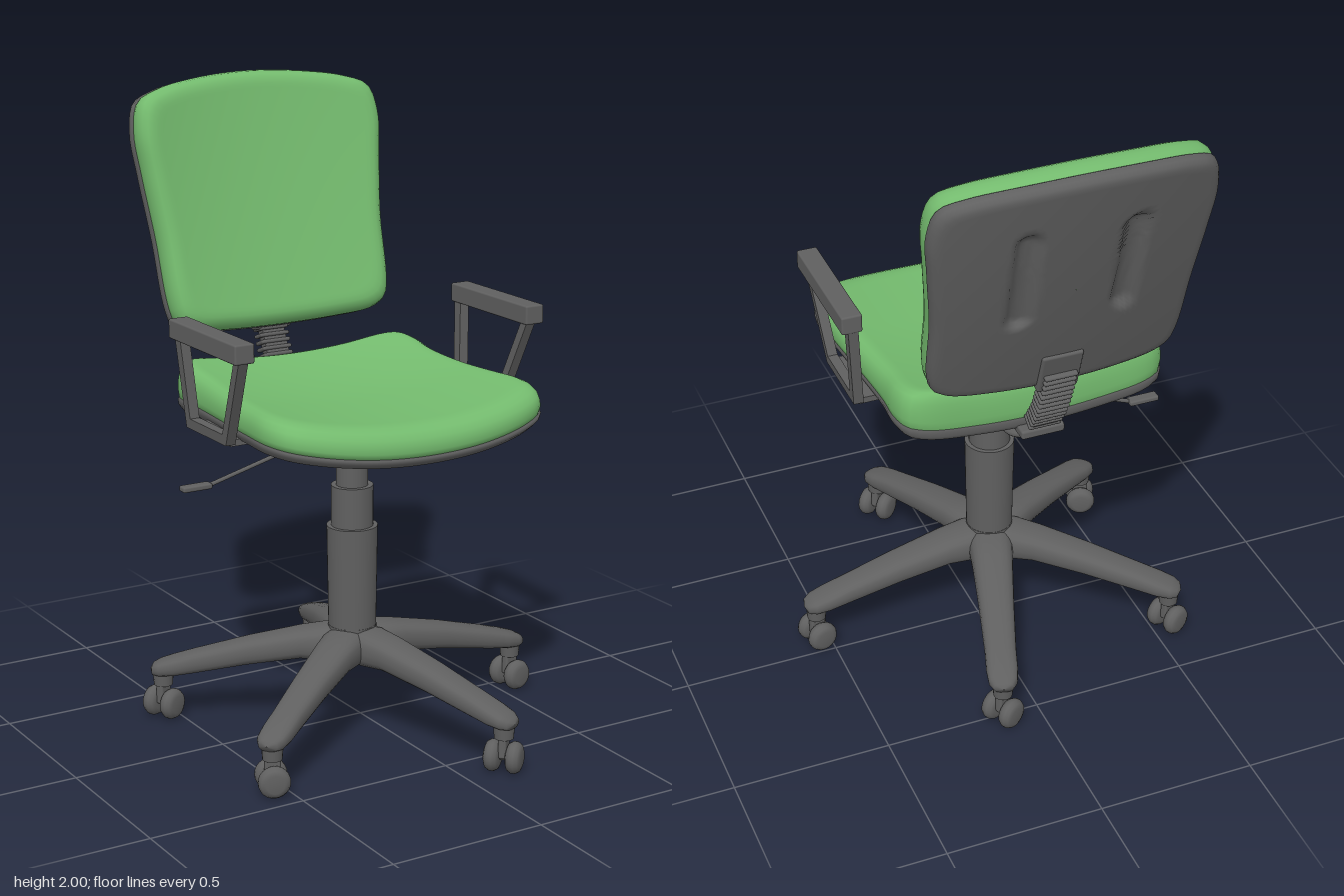
import * as THREE from 'three';
import { RoundedBoxGeometry } from 'three/addons/geometries/RoundedBoxGeometry.js';

const CX = -0.06, CZ = 0.05; // column axis
const fabric = new THREE.MeshStandardMaterial({ color: 0x74bb6e });
const plastic = new THREE.MeshStandardMaterial({ color: 0x606060 });

function part(parent, name, geometry, x = 0, y = 0, z = 0, material = plastic) {
  const mesh = new THREE.Mesh(geometry, material);
  mesh.name = name;
  mesh.position.set(x, y, z);
  parent.add(mesh);
  return mesh;
}

// Skin over closed rings of equal length; points run counter-clockwise about the loft direction
function loft(rings) {
  const n = rings[0].length, index = [];
  for (let j = 0; j < rings.length - 1; j++) {
    for (let i = 0; i < n; i++) {
      const k = (i + 1) % n, a = j * n + i, b = j * n + k, c = b + n, d = a + n;
      index.push(a, b, c, a, c, d);
    }
  }
  const g = new THREE.BufferGeometry();
  g.setAttribute('position', new THREE.Float32BufferAttribute(rings.flat(2), 3));
  g.setIndex(index);
  g.computeVertexNormals();
  return g;
}

// Closed smooth outline from its right half, listed bottom to top
function outline(half) {
  const left = half.slice(1, -1).reverse().map(([a, b]) => [-a, b]);
  const pts = [...half, ...left].map(([a, b]) => new THREE.Vector3(a, b, 0));
  return new THREE.CatmullRomCurve3(pts, true).getSpacedPoints(112).slice(0, -1);
}

// Cushion or shell: rim layers [scale, height] closed by caps, then bent by a rule
function pad(points, centre, rim, bend) {
  const steps = 26, layers = [];
  const [s0, h0] = rim[0], [s1, h1] = rim[rim.length - 1];
  for (let i = 0; i < steps; i++) layers.push([s0 * Math.max(i / steps, 0.001), h0]);
  layers.push(...rim);
  for (let i = steps - 1; i >= 0; i--) layers.push([s1 * Math.max(i / steps, 0.001), h1]);
  return loft(layers.map(([s, h]) => points.map(p => bend(p.x * s, centre + (p.y - centre) * s, h))));
}

function addSeat(chair) {
  const shape = outline([[0, -0.53], [0.2, -0.518], [0.36, -0.478], [0.44, -0.43], [0.47, -0.35], [0.46, -0.2],
    [0.44, 0], [0.43, 0.15], [0.432, 0.25], [0.412, 0.315], [0.36, 0.338], [0.2, 0.342], [0, 0.343]]);
  const bend = (a, b, h) => {
    const t = THREE.MathUtils.clamp((b + 0.15) / 0.48, 0, 1);
    const lift = THREE.MathUtils.clamp((h - 0.02) / 0.08, 0, 1);
    return [CX + a, 0.965 + h + 0.24 * a * a + 0.05 * t * t * lift, -b];
  };
  part(chair, 'seatShell', pad(shape, 0.09, [[0.93, 0], [0.975, 0.006], [0.995, 0.018], [1, 0.03], [0.985, 0.036]], bend));
  part(chair, 'seatCushion', pad(shape, 0.09, [[0.97, 0.03], [0.99, 0.034], [0.998, 0.05], [0.995, 0.07], [0.985, 0.088],
    [0.96, 0.106], [0.925, 0.117], [0.88, 0.121]], bend), 0, 0, 0, fabric);
}

function addBackrest(chair) {
  const shape = outline([[0, 1.192], [0.2, 1.198], [0.33, 1.213], [0.375, 1.24], [0.392, 1.3], [0.402, 1.5],
    [0.424, 1.7], [0.435, 1.83], [0.41, 1.92], [0.34, 1.95], [0.2, 1.972], [0, 1.983]]);
  const bend = (a, b, h) => {
    const t = b - 1.2;
    // Two upright oval recesses in the rear face
    const d = Math.hypot((Math.abs(a) - 0.16) / 0.045, Math.max(Math.abs(b - 1.65) - 0.14, 0) / 0.045);
    const recess = h < 0.002 ? 0.024 * (1 - THREE.MathUtils.smoothstep(d, 0.4, 1)) : 0;
    const z = -0.465 - 0.344 * t + 0.084 * t * t + (0.22 + 0.15 * t) * a * a;
    return [CX + a, b + 0.28 * h, z + h + recess];
  };
  part(chair, 'backrestShell', pad(shape, 1.59, [[0.95, 0], [0.98, 0.005], [0.997, 0.016], [1, 0.035], [0.985, 0.042]], bend));
  part(chair, 'backrestCushion', pad(shape, 1.59, [[0.97, 0.036], [0.988, 0.04], [0.996, 0.055], [0.995, 0.075],
    [0.98, 0.097], [0.95, 0.112], [0.91, 0.119], [0.87, 0.121]], bend), 0, 0, 0, fabric);
}

function addBackSupport(chair) {
  const path = new THREE.CatmullRomCurve3([[1.25, -0.482], [1.155, -0.448], [1.085, -0.418], [1.01, -0.37]]
    .map(([y, z]) => new THREE.Vector3(CX, y, z)));
  // Ribbed sleeve
  const ribs = 13;
  for (let i = 0; i < ribs; i++) {
    const t = i / (ribs - 1), dir = path.getTangentAt(t);
    const rib = part(chair, 'sleeveRib', new RoundedBoxGeometry(0.105, 0.013, 0.052, 2, 0.006));
    rib.position.copy(path.getPointAt(t));
    rib.rotation.x = Math.atan2(-dir.z, -dir.y);
  }
  const core = part(chair, 'supportBar', new THREE.BoxGeometry(0.08, 0.27, 0.03), CX, 1.13, -0.432);
  core.rotation.x = -0.42;
  const upper = part(chair, 'backrestBracket', new RoundedBoxGeometry(0.13, 0.15, 0.04, 2, 0.008), CX, 1.26, -0.475);
  upper.rotation.x = -0.3;
  part(chair, 'seatBracket', new RoundedBoxGeometry(0.14, 0.03, 0.29, 2, 0.008), CX, 0.968, -0.235);
  // Adjusting knob
  const knob = [[0, 0.87], [0.055, 0.87], [0.06, 0.876], [0.06, 0.888], [0.053, 0.895], [0.049, 0.91], [0.049, 0.99]];
  const profile = knob.map(([r, y]) => new THREE.Vector2(r, y));
  part(chair, 'adjustingKnob', new THREE.LatheGeometry(profile, 28), CX, 0, -0.205);
}

function addLever(chair) {
  const pts = [[-0.085, 0.965, -0.155], [-0.24, 0.88, -0.09], [-0.475, 0.805, -0.12]].map(p => new THREE.Vector3(...p));
  const path = new THREE.CurvePath();
  path.add(new THREE.LineCurve3(pts[0], pts[1]));
  path.add(new THREE.LineCurve3(pts[1], pts[2]));
  part(chair, 'leverRod', new THREE.TubeGeometry(path, 24, 0.007, 8));
  part(chair, 'leverPaddle', new RoundedBoxGeometry(0.1, 0.018, 0.036, 2, 0.006), -0.515, 0.806, -0.122);
}

function addArmrest(chair, side) {
  const arm = new THREE.Group();
  arm.name = side > 0 ? 'leftArmrest' : 'rightArmrest';
  const poly = pts => pts.map(([z, y]) => new THREE.Vector2(z, y));
  const frame = new THREE.Shape(poly([[0.16, 1.01], [0.285, 1.295], [-0.12, 1.295], [-0.09, 1.01]]));
  frame.holes.push(new THREE.Path(poly([[0.142, 1.042], [-0.062, 1.042], [-0.085, 1.285], [0.25, 1.285]])));
  const g = new THREE.ExtrudeGeometry(frame, { depth: 0.032, bevelEnabled: false });
  g.rotateY(-Math.PI / 2);
  g.translate(0.016, 0, 0);
  // Lean outward towards the top
  const p = g.attributes.position;
  for (let i = 0; i < p.count; i++) p.setX(i, p.getX(i) + side * 0.07 * (p.getY(i) - 1.01));
  g.computeVertexNormals();
  part(arm, 'armFrame', g, CX + side * 0.483, 0, 0);
  part(arm, 'armTop', new RoundedBoxGeometry(0.065, 0.06, 0.42, 2, 0.006), CX + side * 0.506, 1.315, 0.088);
  part(arm, 'armMount', new THREE.BoxGeometry(0.08, 0.02, 0.24), CX + side * 0.44, 1.014, 0.035);
  chair.add(arm);
}

function addBase(chair) {
  // Gas column: radius bottom, radius top, y bottom, y top
  for (const [r0, r1, y0, y1] of [[0.078, 0.076, 0.225, 0.335], [0.075, 0.08, 0.335, 0.66], [0.066, 0.066, 0.66, 0.79], [0.05, 0.05, 0.79, 0.975]])
    part(chair, 'column', new THREE.CylinderGeometry(r1, r0, y1 - y0, 36), CX, (y0 + y1) / 2, CZ);

  // Leg sections: distance, top, bottom, half width
  const sections = [[0, 0.28, 0.28, 0.001], [0, 0.33, 0.215, 0.07], [0.08, 0.332, 0.215, 0.072], [0.16, 0.318, 0.22, 0.066],
    [0.33, 0.278, 0.192, 0.057], [0.5, 0.23, 0.157, 0.05], [0.57, 0.208, 0.145, 0.05], [0.615, 0.192, 0.142, 0.045],
    [0.637, 0.18, 0.145, 0.031], [0.645, 0.163, 0.162, 0.002]];
  const round = v => Math.sign(v) * Math.abs(v) ** 0.75;
  const leg = loft(sections.map(([r, top, bottom, w]) => Array.from({ length: 20 }, (_, i) => {
    const a = i / 20 * Math.PI * 2;
    return [r, (top + bottom) / 2 + round(Math.cos(a)) * (top - bottom) / 2, round(Math.sin(a)) * w];
  })));
  const tyre = [[0, -0.024], [0.028, -0.024], [0.042, -0.018], [0.049, -0.006], [0.049, 0.006], [0.042, 0.018], [0.028, 0.024], [0, 0.024]];
  const wheel = new THREE.LatheGeometry(tyre.map(([r, y]) => new THREE.Vector2(r, y)), 24).rotateX(Math.PI / 2);
  const yaws = [0.2, 0.7, -0.35, 0.45, 0.5];
  yaws.forEach((yaw, i) => {
    const angle = i * Math.PI * 2 / 5;
    part(chair, 'leg', leg, CX, 0, CZ).rotation.y = -angle;
    const caster = new THREE.Group();
    caster.name = 'caster';
    caster.position.set(CX + 0.605 * Math.cos(angle), 0, CZ + 0.605 * Math.sin(angle));
    caster.rotation.y = yaw;
    part(caster, 'casterStem', new THREE.CylinderGeometry(0.034, 0.03, 0.05, 18), 0, 0.135, 0);
    part(caster, 'casterHood', new RoundedBoxGeometry(0.05, 0.075, 0.026, 2, 0.008), 0, 0.085, 0);
    part(caster, 'axle', new THREE.CylinderGeometry(0.012, 0.012, 0.1, 12).rotateX(Math.PI / 2), 0, 0.05, 0);
    for (const s of [-1, 1]) part(caster, 'wheel', wheel, 0, 0.05, s * 0.034);
    chair.add(caster);
  });
}

export function createModel() {
  const chair = new THREE.Group();
  chair.name = 'officeChair';
  addSeat(chair);
  addBackrest(chair);
  addBackSupport(chair);
  addLever(chair);
  addArmrest(chair, 1);
  addArmrest(chair, -1);
  addBase(chair);
  return chair;
}
